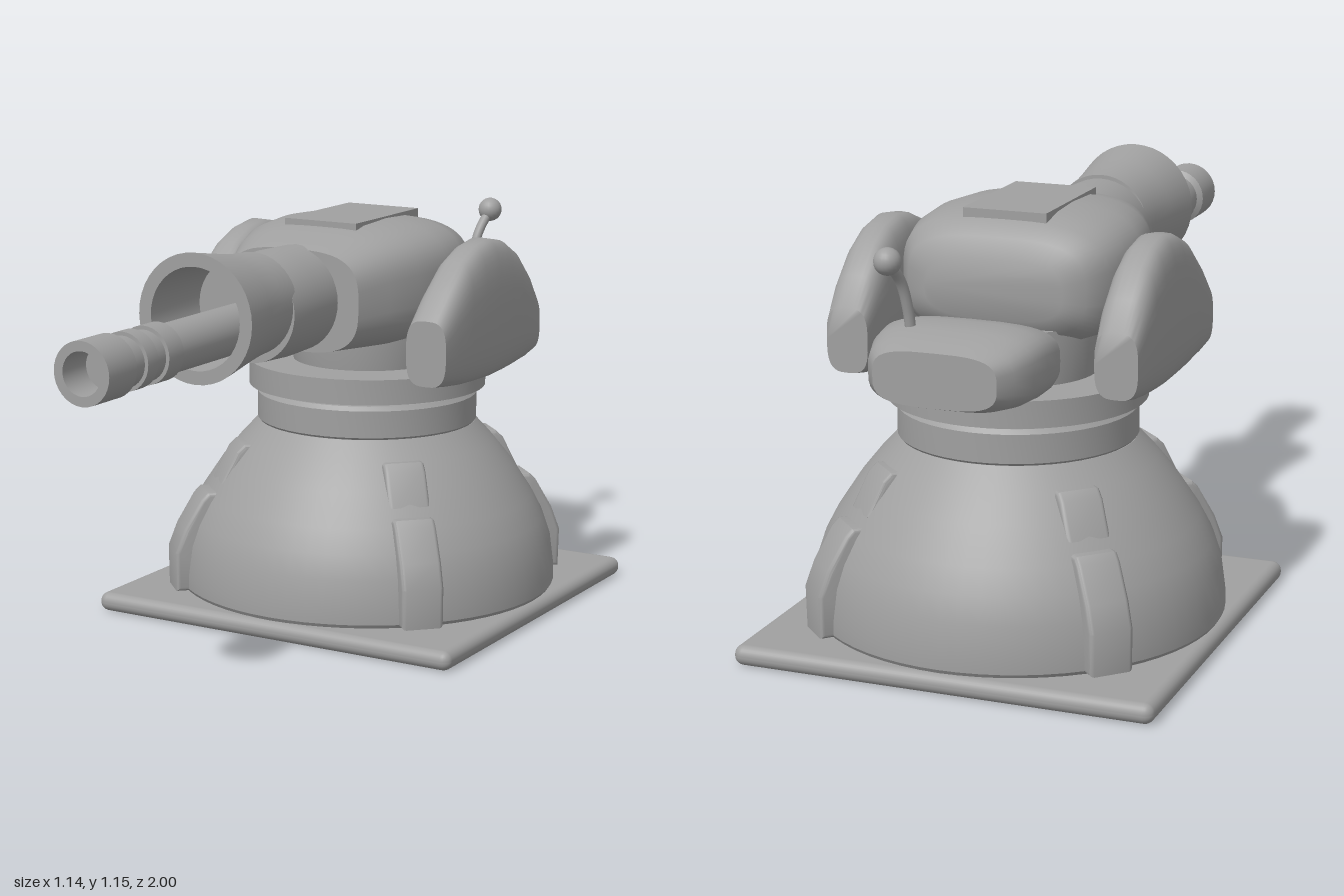
import * as THREE from 'three';
import { toCreasedNormals } from 'three/addons/utils/BufferGeometryUtils.js';
import { RoundedBoxGeometry } from 'three/addons/geometries/RoundedBoxGeometry.js';

const AXIS_Z = -0.43; // vertical turning axis of the turret

export function createModel() {
  const model = new THREE.Group();
  model.name = 'turret';
  const grey = new THREE.MeshStandardMaterial({ color: 0xa0a0a0 });
  grey.name = 'plain grey';

  const add = (name, geometry, x = 0, y = 0, z = 0, parent = model) => {
    const mesh = new THREE.Mesh(geometry, grey);
    mesh.name = name;
    mesh.position.set(x, y, z);
    parent.add(mesh);
    return mesh;
  };

  // Turned part from [radius, height] pairs, bottom to top
  const lathe = (profile, segments = 48, crease = 0.5) => toCreasedNormals(
    new THREE.LatheGeometry(profile.map(([r, h]) => new THREE.Vector2(r, h)), segments), crease);

  // Superellipse cross-sections [z, bottom, top, halfWidth], joined from back to front
  const loft = (sections, power, count = 40) => {
    const positions = [], index = [];
    const bend = (v) => Math.sign(v) * Math.abs(v) ** (2 / power);
    for (const [z, bottom, top, half] of sections) {
      for (let j = 0; j < count; j++) {
        const a = (j / count) * Math.PI * 2;
        positions.push(half * bend(Math.cos(a)),
          (top + bottom) / 2 + ((top - bottom) / 2) * bend(Math.sin(a)), z);
      }
    }
    const last = (sections.length - 1) * count;
    for (let i = 0; i < last; i += count) {
      for (let j = 0; j < count; j++) {
        const a = i + j, b = i + ((j + 1) % count);
        index.push(a, b, b + count, a, b + count, a + count);
      }
    }
    for (let j = 1; j < count - 1; j++) {
      index.push(0, j + 1, j, last, last + j, last + j + 1);
    }
    const geometry = new THREE.BufferGeometry();
    geometry.setAttribute('position', new THREE.Float32BufferAttribute(positions, 3));
    geometry.setIndex(index);
    return toCreasedNormals(geometry, 0.75);
  };

  // Base plate, dome and collar
  add('basePlate', new RoundedBoxGeometry(1.145, 0.055, 1.14, 3, 0.026), 0, 0.0275, AXIS_Z);
  add('dome', lathe([[0, 0.05], [0.545, 0.05], [0.554, 0.065], [0.554, 0.1], [0.542, 0.19],
    [0.52, 0.255], [0.486, 0.32], [0.425, 0.412], [0.37, 0.48], [0.317, 0.537], [0, 0.537]], 64),
    0, 0, AXIS_Z);
  add('collar', lathe([[0, 0.533], [0.312, 0.533], [0.32, 0.543], [0.32, 0.62],
    [0.31, 0.632], [0, 0.632]]), 0, 0, AXIS_Z);

  // Four buttresses and pads on the diagonals of the dome
  const rib = (points, width) => {
    const shape = new THREE.Shape(points.map(([r, h]) => new THREE.Vector2(r, h)));
    const bevel = 0.012;
    const geometry = new THREE.ExtrudeGeometry(shape, {
      depth: width - 2 * bevel, bevelSize: bevel, bevelThickness: bevel, bevelSegments: 3 });
    geometry.translate(0, 0, bevel - width / 2);
    return toCreasedNormals(geometry, 0.6);
  };
  const buttress = rib([[0.44, 0.07], [0.573, 0.07], [0.575, 0.17], [0.55, 0.235],
    [0.5, 0.32], [0.485, 0.335], [0.42, 0.335]], 0.12);
  const pad = rib([[0.3, 0.38], [0.436, 0.38], [0.395, 0.455], [0.377, 0.472], [0.3, 0.472]], 0.12);
  for (let i = 0; i < 4; i++) {
    const arm = new THREE.Group();
    arm.name = 'domeRib';
    arm.position.z = AXIS_Z;
    arm.rotation.y = Math.PI / 4 + (i * Math.PI) / 2;
    add('buttress', buttress, 0, 0, 0, arm);
    add('upperPad', pad, 0, 0, 0, arm);
    model.add(arm);
  }

  // Floating turntable and drum
  add('turntable', lathe([[0, 0.643], [0.345, 0.643], [0.345, 0.715], [0, 0.715]]), 0, 0, AXIS_Z);
  add('drum', lathe([[0, 0.71], [0.215, 0.71], [0.228, 0.8], [0.228, 0.86], [0, 0.86]]), 0, 0, AXIS_Z);

  // Main housing with raised roof plate
  add('housing', loft([
    [-0.605, 0.88, 1.04, 0.19], [-0.58, 0.835, 1.09, 0.245], [-0.52, 0.805, 1.125, 0.285],
    [-0.44, 0.797, 1.14, 0.305], [-0.33, 0.795, 1.145, 0.312], [-0.2, 0.795, 1.14, 0.292],
    [-0.1, 0.8, 1.122, 0.255], [0, 0.805, 1.09, 0.212]], 3.2, 56));
  add('roofPlate', new THREE.BoxGeometry(0.23, 0.03, 0.365), 0, 1.133, -0.337);

  // Side pods
  const pod = loft([
    [-0.695, 0.727, 0.9, 0.058], [-0.64, 0.715, 0.975, 0.064], [-0.57, 0.706, 1.043, 0.066],
    [-0.5, 0.7, 1.08, 0.067], [-0.42, 0.696, 1.095, 0.067], [-0.34, 0.698, 1.083, 0.067],
    [-0.26, 0.702, 1.05, 0.066], [-0.17, 0.712, 0.975, 0.066], [-0.1, 0.722, 0.905, 0.062]], 3.2);
  add('leftPod', pod, 0.368);
  add('rightPod', pod, -0.368);

  // Rear box with antenna
  add('rearBox', loft([
    [-0.98, 0.745, 0.885, 0.165], [-0.94, 0.732, 0.9, 0.195], [-0.87, 0.722, 0.918, 0.218],
    [-0.8, 0.72, 0.925, 0.228], [-0.74, 0.722, 0.915, 0.228], [-0.69, 0.728, 0.9, 0.218]], 3.4));
  const stem = new THREE.CatmullRomCurve3([
    new THREE.Vector3(0.115, 0.9, -0.855), new THREE.Vector3(0.118, 0.96, -0.865),
    new THREE.Vector3(0.125, 1.03, -0.887), new THREE.Vector3(0.135, 1.09, -0.935)]);
  add('antennaStem', new THREE.TubeGeometry(stem, 16, 0.014, 10));
  add('antennaBall', new THREE.SphereGeometry(0.035, 20, 14), 0.135, 1.095, -0.943);

  // Gun: neck, flared hollow shroud and inner barrel, all turned about z
  const turnedZ = (profile, segments) => lathe(profile, segments).rotateX(Math.PI / 2);
  add('gunNeck', turnedZ([[0, -0.12], [0.146, -0.12], [0.147, 0], [0.15, 0.1], [0.144, 0.225],
    [0, 0.225]], 40), 0, 0.952, 0);
  add('gunShroud', turnedZ([[0, 0.2], [0.138, 0.2], [0.142, 0.27], [0.154, 0.36], [0.175, 0.49],
    [0.138, 0.49], [0.128, 0.27], [0, 0.27]], 40), 0, 0.97, 0);
  add('barrel', turnedZ([[0, 0.25], [0.066, 0.25], [0.066, 0.66], [0.077, 0.66], [0.077, 0.727],
    [0.067, 0.727], [0.067, 0.775], [0.077, 0.775], [0.077, 0.822], [0.067, 0.822], [0.067, 0.87],
    [0.083, 0.88], [0.083, 1], [0.057, 1], [0.057, 0.9], [0, 0.9]], 32), 0, 0.914, 0);

  return model;
}
